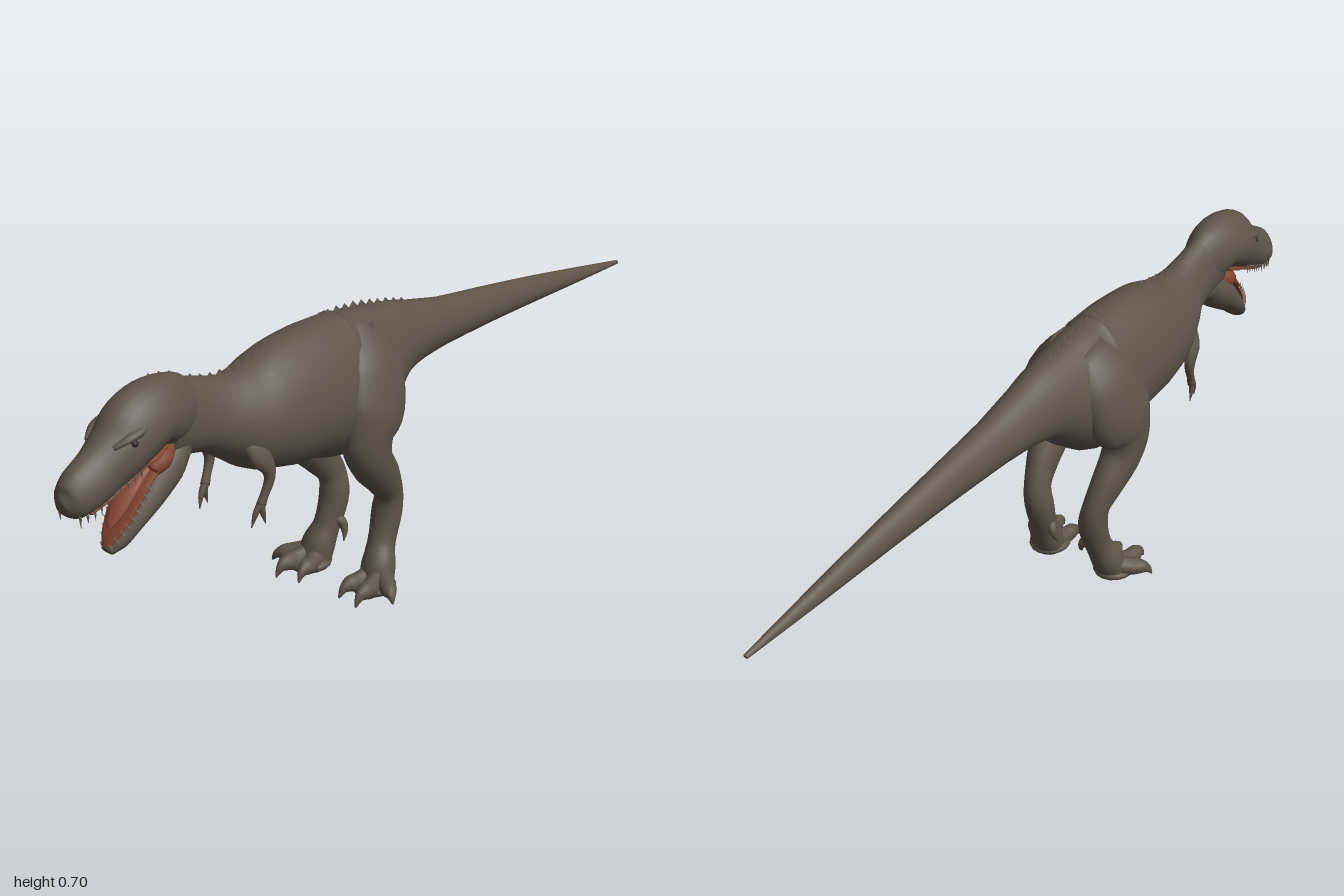
import * as THREE from 'three';
import { mergeGeometries } from 'three/addons/utils/BufferGeometryUtils.js';

const flat = (name, color) => {
  const m = new THREE.MeshStandardMaterial({ color });
  m.name = name;
  return m;
};

// Smooth tube through sections [x, y, z, halfWidth, halfHeight]; taper narrows the upper side.
function loft(sections, { steps = 4, sides = 16, taper = 0 } = {}) {
  const path = new THREE.CatmullRomCurve3(sections.map(s => new THREE.Vector3(s[0], s[1], s[2])));
  const size = new THREE.CatmullRomCurve3(sections.map(s => new THREE.Vector3(s[3], s[4], 0)));
  const n = (sections.length - 1) * steps;
  const pos = [], idx = [];
  for (let i = 0; i <= n; i++) {
    const c = path.getPoint(i / n), r = size.getPoint(i / n), t = path.getTangent(i / n);
    const side = new THREE.Vector3(1, 0, 0).addScaledVector(t, -t.x).normalize();
    const up = new THREE.Vector3().crossVectors(t, side);
    for (let j = 0; j < sides; j++) {
      const a = j / sides * Math.PI * 2, s = Math.sin(a);
      const p = c.clone()
        .addScaledVector(side, Math.max(r.x, 0.001) * Math.cos(a) * (1 - taper * s))
        .addScaledVector(up, Math.max(r.y, 0.001) * s);
      pos.push(p.x, p.y, p.z);
      if (i < n) {
        const k = (j + 1) % sides, b = i * sides, d = b + sides;
        idx.push(b + j, b + k, d + k, b + j, d + k, d + j);
      }
    }
  }
  // End caps
  const last = n * sides;
  for (let j = 1; j < sides - 1; j++) idx.push(0, j + 1, j, last, last + j, last + j + 1);
  const g = new THREE.BufferGeometry();
  g.setAttribute('position', new THREE.Float32BufferAttribute(pos, 3));
  g.setIndex(idx);
  g.computeVertexNormals();
  return g;
}

// Rows of [z, top, bottom, halfWidth] on the centre plane
const spine = rows => rows.map(([z, t, b, w]) => [0, (t + b) / 2, z, w, (t - b) / 2]);

const BODY = [
  [-1, 0.463, 0.453, 0.006], [-0.8, 0.497, 0.458, 0.018], [-0.6, 0.53, 0.464, 0.028],
  [-0.4, 0.56, 0.469, 0.038], [-0.2, 0.588, 0.47, 0.05], [-0.08, 0.615, 0.462, 0.062],
  [0, 0.637, 0.44, 0.076], [0.1, 0.66, 0.375, 0.1], [0.18, 0.668, 0.335, 0.112],
  [0.28, 0.669, 0.362, 0.115], [0.38, 0.662, 0.376, 0.112], [0.46, 0.648, 0.4, 0.102],
  [0.53, 0.638, 0.447, 0.08], [0.59, 0.643, 0.485, 0.056], [0.65, 0.662, 0.5, 0.048],
  [0.71, 0.682, 0.515, 0.05],
];
const SKULL = [
  [0.65, 0.655, 0.545, 0.04], [0.7, 0.687, 0.54, 0.057], [0.75, 0.696, 0.556, 0.066],
  [0.8, 0.686, 0.541, 0.068], [0.85, 0.642, 0.518, 0.063], [0.9, 0.606, 0.497, 0.051],
  [0.95, 0.58, 0.478, 0.046], [0.982, 0.552, 0.474, 0.037], [1, 0.525, 0.492, 0.015],
];
const JAW = [
  [0, 0.538, 0.685, 0.042, 0.034], [0, 0.502, 0.733, 0.055, 0.046], [0, 0.461, 0.782, 0.053, 0.037],
  [0, 0.422, 0.828, 0.044, 0.026], [0, 0.388, 0.864, 0.031, 0.019], [0, 0.371, 0.888, 0.015, 0.01],
];

// Linear lookup of a column in a profile table
function lookup(rows, z, col) {
  let i = 0;
  while (i < rows.length - 2 && rows[i + 1][0] < z) i++;
  const a = rows[i], b = rows[i + 1];
  return THREE.MathUtils.lerp(a[col], b[col], (z - a[0]) / (b[0] - a[0]));
}

export function createModel() {
  const model = new THREE.Group();
  const skin = flat('grey brown hide', 0x5d5348);
  const flesh = flat('red tongue', 0x8f4a38);
  const gum = flat('brown red mouth lining', 0x7f422e);
  const ivory = flat('dull tooth', 0x7d705f);
  const dark = flat('dark eye', 0x2a2629);
  const add = (name, geo, mat, parent = model) => {
    const m = new THREE.Mesh(geo, mat);
    m.name = name;
    parent.add(m);
    return m;
  };

  // Trunk with tail and neck, then the head
  add('bodyAndTail', loft(spine(BODY), { sides: 28, taper: 0.16 }), skin);
  add('skull', loft(spine(SKULL), { sides: 24, taper: 0.2 }), skin);
  add('lowerJaw', loft(JAW, { sides: 20 }), skin);

  // Mouth: throat, palate, jaw lining and tongue
  add('throat', loft([[0, 0.545, 0.715, 0.035, 0.02], [0, 0.528, 0.755, 0.05, 0.035],
    [0, 0.515, 0.785, 0.042, 0.026]]), gum);
  add('palate', loft([[0, 0.558, 0.75, 0.045, 0.008], [0, 0.541, 0.8, 0.045, 0.008],
    [0, 0.519, 0.85, 0.042, 0.008], [0, 0.498, 0.9, 0.036, 0.007], [0, 0.481, 0.945, 0.027, 0.005]]), gum);
  add('jawLining', loft([[0, 0.527, 0.764, 0.045, 0.009], [0, 0.488, 0.808, 0.044, 0.009],
    [0, 0.441, 0.846, 0.037, 0.008], [0, 0.405, 0.876, 0.025, 0.006], [0, 0.383, 0.893, 0.01, 0.003]]), gum);
  add('tongue', loft([[0, 0.526, 0.775, 0.027, 0.012], [0, 0.486, 0.822, 0.027, 0.013],
    [0, 0.446, 0.858, 0.021, 0.01], [0, 0.42, 0.88, 0.008, 0.004]]), flesh);

  // Teeth along both jaws
  const teeth = [];
  const tooth = (x, y, z, h, tilt) => {
    const g = new THREE.ConeGeometry(0.0036, h, 5);
    g.rotateX(tilt);
    g.translate(x, y, z);
    teeth.push(g);
  };
  for (const s of [1, -1]) {
    for (let i = 0; i < 10; i++) {
      const z = 0.83 + i * 0.0165;
      tooth(s * lookup(SKULL, z, 3) * 0.74, lookup(SKULL, z, 2) + 0.002, z, 0.026 - (i % 3) * 0.004, Math.PI);
    }
    for (let i = 0; i < 9; i++) {
      const k = i / 8;
      tooth(s * THREE.MathUtils.lerp(0.042, 0.012, k * k), THREE.MathUtils.lerp(0.492, 0.386, k),
        THREE.MathUtils.lerp(0.808, 0.892, k), 0.02, 0.5);
    }
  }
  add('teeth', mergeGeometries(teeth), ivory);

  // Low serrated ridge from the crown to the hips
  const ridge = [];
  for (let z = -0.06; z < 0.82; z += 0.029) {
    const top = z < 0.68 ? lookup(BODY, z, 1) : lookup(SKULL, z, 1);
    const g = new THREE.ConeGeometry(0.021, 0.02, 4);
    g.scale(0.35, 1, 1);
    g.translate(0, top - 0.001, z);
    ridge.push(g);
  }
  add('backRidge', mergeGeometries(ridge), skin);

  for (const s of [1, -1]) {
    const sideName = s > 0 ? 'left' : 'right';
    const limb = (name, sections, parent, opts) =>
      add(name, loft(sections.map(([x, ...r]) => [s * x, ...r]), opts), skin, parent);

    // Eye and brow
    const eye = add(sideName + 'Eye', new THREE.SphereGeometry(0.009, 12, 8), dark);
    eye.position.set(s * 0.052, 0.603, 0.85);
    limb(sideName + 'Brow', [[0.046, 0.63, 0.79, 0.006, 0.006], [0.051, 0.622, 0.83, 0.012, 0.01],
      [0.048, 0.615, 0.86, 0.011, 0.008], [0.036, 0.602, 0.89, 0.005, 0.005]], model, { sides: 10 });

    // Hind leg
    const leg = new THREE.Group();
    leg.name = sideName + 'HindLeg';
    model.add(leg);
    limb('thighAndShank', [
      [0.035, 0.625, 0.12, 0.02, 0.05], [0.075, 0.545, 0.14, 0.046, 0.092], [0.095, 0.46, 0.165, 0.053, 0.098],
      [0.1, 0.395, 0.19, 0.048, 0.072], [0.098, 0.34, 0.177, 0.046, 0.055], [0.092, 0.28, 0.128, 0.037, 0.046],
      [0.083, 0.225, 0.092, 0.031, 0.036], [0.077, 0.175, 0.091, 0.035, 0.036], [0.08, 0.105, 0.114, 0.031, 0.033],
      [0.088, 0.06, 0.136, 0.04, 0.038], [0.092, 0.022, 0.15, 0.042, 0.036],
    ], leg, { sides: 20 });
    const toes = [
      [[0.1, 0.04, 0.14, 0.024, 0.026], [0.135, 0.034, 0.168, 0.022, 0.022],
        [0.156, 0.032, 0.184, 0.018, 0.018], [0.169, 0.026, 0.193, 0.01, 0.011], [0.178, 0.012, 0.199, 0.002, 0.002]],
      [[0.1, 0.036, 0.15, 0.024, 0.028], [0.112, 0.03, 0.195, 0.021, 0.024],
        [0.115, 0.033, 0.222, 0.019, 0.02], [0.116, 0.027, 0.242, 0.01, 0.012], [0.117, 0.008, 0.257, 0.002, 0.002]],
      [[0.08, 0.036, 0.15, 0.024, 0.026], [0.069, 0.03, 0.188, 0.02, 0.022],
        [0.065, 0.032, 0.212, 0.018, 0.019], [0.062, 0.026, 0.231, 0.01, 0.011], [0.059, 0.008, 0.245, 0.002, 0.002]],
    ];
    toes.forEach((t, i) => limb('toe' + (i + 1), t, leg, { sides: 12 }));
    limb('rearClaw', [[0.06, 0.125, 0.11, 0.012, 0.014], [0.045, 0.108, 0.1, 0.011, 0.012],
      [0.038, 0.09, 0.102, 0.007, 0.008], [0.032, 0.07, 0.113, 0.001, 0.001]], leg, { sides: 10 });
    const sole = add('sole', new THREE.SphereGeometry(1, 16, 10), skin, leg);
    sole.scale.set(0.05, 0.02, 0.055);
    sole.position.set(s * 0.094, 0.02, 0.162);

    // Small foreleg with two fingers
    const arm = new THREE.Group();
    arm.name = sideName + 'Arm';
    model.add(arm);
    limb('armLength', [[0.052, 0.515, 0.53, 0.014, 0.026], [0.076, 0.467, 0.52, 0.016, 0.026],
      [0.084, 0.43, 0.5, 0.013, 0.017], [0.084, 0.405, 0.499, 0.011, 0.012],
      [0.081, 0.375, 0.512, 0.009, 0.01], [0.079, 0.355, 0.521, 0.01, 0.012]], arm, { sides: 12 });
    for (const [x, z] of [[0.073, 0.546], [0.082, 0.512]]) {
      limb('finger', [[0.079, 0.364, 0.52, 0.007, 0.008], [(x + 0.08) / 2, 0.338, (z + 0.526) / 2, 0.006, 0.007],
        [x, 0.309, z, 0.001, 0.001]], arm, { sides: 8 });
    }
  }
  return model;
}
